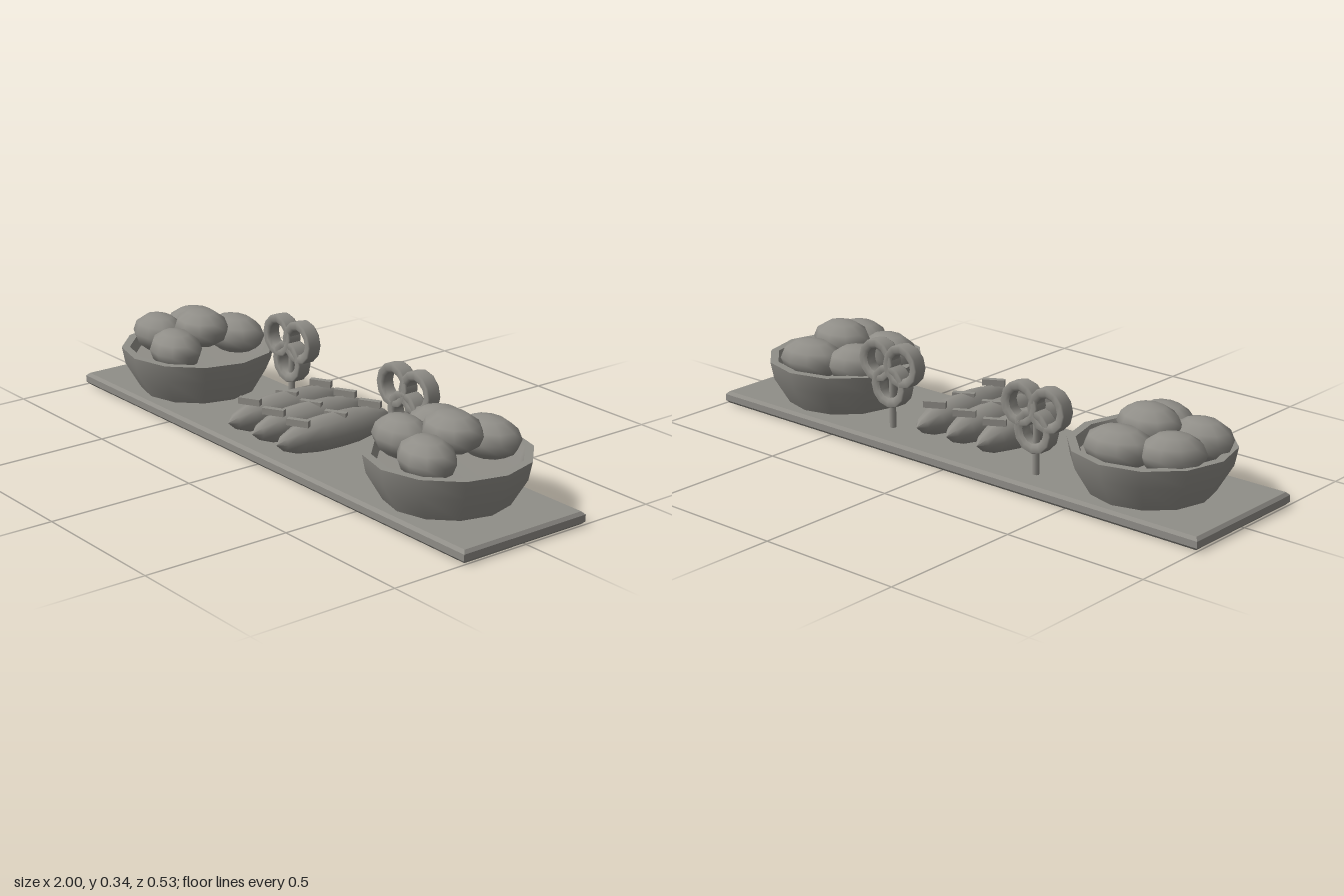
import * as THREE from 'three';
import { toCreasedNormals } from 'three/addons/utils/BufferGeometryUtils.js';

const clay = new THREE.MeshStandardMaterial({ color: 0x908e88 });
clay.name = 'warm grey';

function add(parent, name, geometry, x = 0, y = 0, z = 0) {
  const mesh = new THREE.Mesh(geometry, clay);
  mesh.name = name;
  mesh.position.set(x, y, z);
  parent.add(mesh);
  return mesh;
}

const lathe = (pairs, sides) =>
  new THREE.LatheGeometry(pairs.map(([r, y]) => new THREE.Vector2(r, y)), sides);

// Serving board with a single chamfer on every edge
function boardGeometry() {
  const w = 0.99, d = 0.232, b = 0.01;
  const shape = new THREE.Shape([
    new THREE.Vector2(-w, -d), new THREE.Vector2(w, -d),
    new THREE.Vector2(w, d), new THREE.Vector2(-w, d),
  ]);
  const geo = new THREE.ExtrudeGeometry(shape, {
    depth: 0.022, bevelEnabled: true, bevelThickness: b, bevelSize: b, bevelSegments: 1,
  });
  return geo.rotateX(-Math.PI / 2).translate(0, b, 0);
}

// Bowl filled with five buns
function makeBowl(x) {
  const bowl = new THREE.Group();
  bowl.name = 'breadBowl';
  bowl.position.x = x;
  const shell = lathe([[0, 0.042], [0.2, 0.042], [0.252, 0.13], [0.264, 0.19],
    [0.236, 0.19], [0.222, 0.155], [0, 0.15]], 12);
  add(bowl, 'bowl', toCreasedNormals(shell, 0.7));

  // x, y, z, length radius, height radius, width radius, turn
  const buns = [
    [0.02, 0.208, -0.14, 0.118, 0.068, 0.086, 0.15],
    [-0.14, 0.208, -0.085, 0.105, 0.068, 0.085, 0.55],
    [-0.135, 0.212, 0.07, 0.108, 0.069, 0.08, 0.05],
    [0.005, 0.25, -0.01, 0.112, 0.065, 0.09, -0.15],
    [0.045, 0.208, 0.125, 0.112, 0.068, 0.086, -0.2],
  ];
  for (const [bx, by, bz, rx, ry, rz, turn] of buns) {
    const bun = add(bowl, 'bun', new THREE.SphereGeometry(1, 10, 6), bx, by, bz);
    bun.scale.set(rx, ry, rz);
    bun.rotation.y = turn;
  }
  return bowl;
}

// Tapered loaf with slanted scored strips on top
function makeLoaf(x) {
  const loaf = new THREE.Group();
  loaf.name = 'loaf';
  loaf.position.set(x, 0.107, 0.02);
  const body = lathe([[0, -0.234], [0.026, -0.205], [0.047, -0.15], [0.06, -0.07],
    [0.062, 0], [0.06, 0.07], [0.047, 0.15], [0.026, 0.205], [0, 0.234]], 8);
  add(loaf, 'loafBody', body.rotateX(Math.PI / 2));
  for (const z of [-0.146, -0.005, 0.146]) {
    const strip = add(loaf, 'score', new THREE.BoxGeometry(0.075, 0.022, 0.02), 0, z < -0.1 || z > 0.1 ? 0.057 : 0.05, z);
    strip.rotation.y = 0.5;
  }
  return loaf;
}

// Pretzel of three flat-sided rings on a post
function makePretzel(x, z) {
  const pretzel = new THREE.Group();
  pretzel.name = 'pretzelStand';
  pretzel.position.set(x, 0, z);
  const w = 0.026;
  const ring = lathe([[0.042, -w * 0.7], [0.052, -w], [0.07, -w], [0.073, -w * 0.8], [0.073, w * 0.8],
    [0.07, w], [0.052, w], [0.042, w * 0.7], [0.042, -w * 0.7]], 12).rotateX(Math.PI / 2);
  for (const [rx, ry] of [[-0.054, 0.266], [0.054, 0.266], [0, 0.188]]) {
    add(pretzel, 'pretzelRing', ring, rx, ry, 0);
  }
  add(pretzel, 'post', new THREE.CylinderGeometry(0.011, 0.011, 0.17, 8), 0, 0.125, 0);
  return pretzel;
}

export function createModel() {
  const model = new THREE.Group();
  model.name = 'breadBoard';
  add(model, 'board', boardGeometry());
  for (const side of [-1, 1]) model.add(makeBowl(side * 0.652));
  for (const i of [-1, 0, 1]) model.add(makeLoaf(i * 0.128));
  model.add(makePretzel(-0.317, -0.149), makePretzel(0.315, -0.126));
  return model;
}
